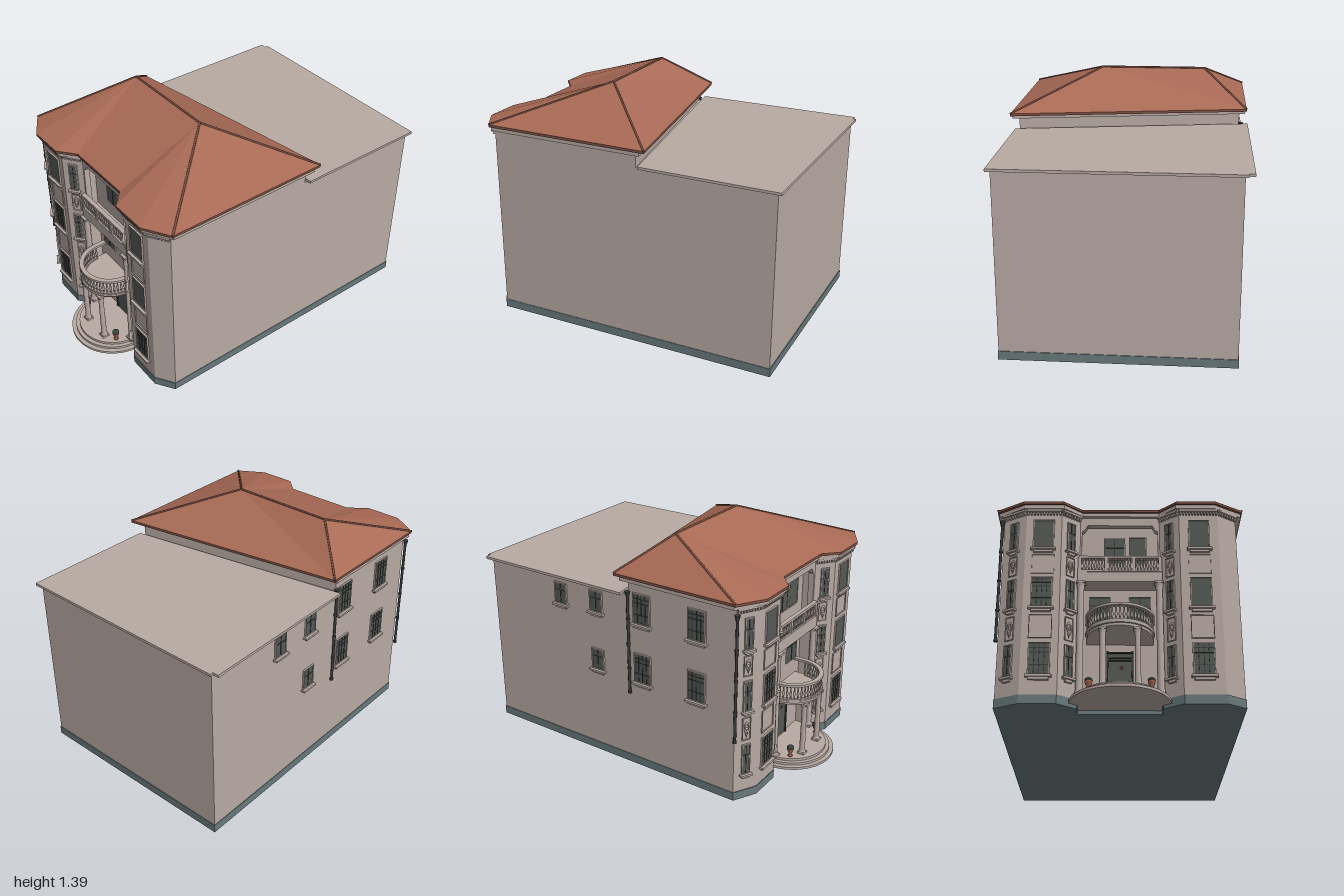
import * as THREE from 'three';

const mat = (name, color) => Object.assign(new THREE.MeshStandardMaterial({ color }), { name });
const M = {
  wall: mat('warm stone', 0xb8aaa3),
  roof: mat('roof tile', 0xa86a55),
  trim: mat('roof trim', 0x7a4f42),
  plinth: mat('slate plinth', 0x68797c),
  glass: mat('dark glass', 0x555a56),
  iron: mat('dark iron', 0x383c3b),
  clay: mat('terracotta', 0xa0604a),
  leaf: mat('foliage', 0x39423a),
};

function add(parent, name, geo, m, x = 0, y = 0, z = 0) {
  const mesh = new THREE.Mesh(geo, m);
  mesh.name = name;
  mesh.position.set(x, y, z);
  parent.add(mesh);
  return mesh;
}
const box = (p, name, m, w, h, d, x, y, z) => add(p, name, new THREE.BoxGeometry(w, h, d), m, x, y, z);
const lathe = (pts, n = 12) => new THREE.LatheGeometry(pts.map(([r, y]) => new THREE.Vector2(r, y)), n);

// horizontal slab from a plan outline of [x, z] corners
function slab(p, name, m, pts, y0, y1) {
  const shape = new THREE.Shape(pts.map(([x, z]) => new THREE.Vector2(x, -z)));
  const geo = new THREE.ExtrudeGeometry(shape, { depth: y1 - y0, bevelEnabled: false });
  return add(p, name, geo.rotateX(-Math.PI / 2), m, 0, y0, 0);
}
// round bar between two points
function bar(p, name, m, a, b, r) {
  const d = b.clone().sub(a);
  const mesh = add(p, name, new THREE.CylinderGeometry(r, r, d.length(), 8), m);
  mesh.position.copy(a).addScaledVector(d, 0.5);
  mesh.quaternion.setFromUnitVectors(new THREE.Vector3(0, 1, 0), d.normalize());
}
// group lying on a wall from p to q: local x along it, local z outwards
function wallFace(parent, name, [px, pz], [qx, qz]) {
  const g = new THREE.Group();
  g.name = name;
  g.position.set((px + qx) / 2, 0, (pz + qz) / 2);
  g.rotation.y = Math.atan2(pz - qz, qx - px);
  g.userData.length = Math.hypot(qx - px, qz - pz);
  parent.add(g);
  return g;
}
function frame(p, name, x, y0, y1, w, t, d, z = 0) {
  const h = y1 - y0;
  for (const s of [-1, 1]) {
    box(p, name, M.wall, t, h + 2 * t, d, x + s * (w + t) / 2, (y0 + y1) / 2, z + d / 2);
    box(p, name, M.wall, w, t, d, x, (y0 + y1) / 2 + s * (h + t) / 2, z + d / 2);
  }
}
function glazing(p, x, y0, y1, w, cols, z = 0) {
  const h = y1 - y0, y = (y0 + y1) / 2;
  box(p, 'windowPane', M.glass, w, h, 0.006, x, y, z + 0.003);
  for (let i = 1; i < cols; i++) box(p, 'glazingBar', M.iron, 0.004, h, 0.009, x + w * (i / cols - 0.5), y, z + 0.0045);
  const rows = cols > 2 ? [0.3, 0.7, 0.85] : cols > 1 ? [0.65] : [];
  for (const r of rows) box(p, 'glazingBar', M.iron, w, 0.004, 0.009, x, y0 + h * r, z + 0.0045);
}
function sillWindow(p, x, y0, y1, w, cols) {
  glazing(p, x, y0, y1, w, cols);
  frame(p, 'windowFrame', x, y0, y1, w, 0.005, 0.01);
  box(p, 'windowSill', M.wall, w + 0.03, 0.012, 0.025, x, y0 - 0.011, 0.0125);
  box(p, 'sillApron', M.wall, w, 0.014, 0.014, x, y0 - 0.024, 0.007);
}
const floors = [[0.16, 0.335], [0.55, 0.72], [0.91, 1.08]];
const panels = [[0.37, 0.5], [0.755, 0.865]];

const columnProfile = (r, h) => lathe([[0, 0], [r * 1.3, 0], [r * 1.3, 0.012], [r * 1.05, 0.022], [r, 0.03], [r * 0.88, h - 0.04],
  [r * 1.1, h - 0.034], [r * 0.9, h - 0.026], [r * 1.3, h - 0.01], [r * 1.3, h], [0, h]], 16);
function column(p, r, x, y0, y1, z) {
  add(p, 'column', columnProfile(r, y1 - y0), M.wall, x, y0, z);
  for (const y of [y0 + 0.006, y1 - 0.006]) box(p, 'columnBlock', M.wall, r * 2.6, 0.012, r * 2.6, x, y, z);
}
const baluster = lathe([[0.005, 0], [0.004, 0.012], [0.008, 0.03], [0.004, 0.055], [0.004, 0.065], [0.006, 0.08]], 8);
// half disc bulging to the front
const halfDisc = (r, h) => new THREE.CylinderGeometry(r, r, h, 32, 1, false, -Math.PI / 2, Math.PI);
function halfRing(r0, r1, h) {
  const s = new THREE.Shape();
  s.absarc(0, 0, r1, Math.PI, 2 * Math.PI, false);
  s.absarc(0, 0, r0, 2 * Math.PI, Math.PI, true);
  return new THREE.ExtrudeGeometry(s, { depth: h, bevelEnabled: false, curveSegments: 24 }).rotateX(-Math.PI / 2);
}

export function createModel() {
  const house = new THREE.Group();
  house.name = 'house';

  // main block plan with two angled bays and a recessed centre
  const bays = [[-0.645, 0.74], [-0.515, 0.81], [-0.32, 0.81], [-0.22, 0.735], [-0.22, 0.66],
    [0.22, 0.66], [0.22, 0.735], [0.325, 0.81], [0.54, 0.81], [0.645, 0.74]];
  slab(house, 'mainWalls', M.wall, [...bays, [0.645, -0.17], [-0.645, 0.05]], 0.05, 1.16);
  slab(house, 'rearWalls', M.wall, [[-0.645, 0.2], [0.645, 0.2], [0.645, -0.975], [-0.645, -0.975]], 0.05, 1.07);
  slab(house, 'plinth', M.plinth, [...bays.map(([x, z]) => [x * 1.004, z + 0.004]), [0.648, -0.979], [-0.648, -0.979]], 0, 0.05);
  slab(house, 'rearFlatRoof', M.wall, [[-0.695, 0.03], [0.668, -0.19], [0.668, -1], [-0.66, -1], [-0.66, -0.98], [-0.695, -0.98]], 1.07, 1.085);

  // hipped roof over the main block
  const eave = [[-0.685, 0.755], [-0.53, 0.848], [-0.31, 0.848], [-0.21, 0.765], [0.22, 0.765],
    [0.31, 0.848], [0.53, 0.848], [0.685, 0.755], [0.685, -0.24], [-0.685, -0.02]];
  slab(house, 'cornice', M.wall, eave.map(([x, z], i) => [x * 0.99, z + (i < 8 ? -0.012 : 0.035)]), 1.148, 1.17);
  slab(house, 'eaves', M.trim, eave, 1.17, 1.185);
  const P = eave.map(([x, z]) => new THREE.Vector3(x, 1.185, z));
  const A = new THREE.Vector3(-0.43, 1.383, 0.215), B = new THREE.Vector3(0.19, 1.383, 0.215);
  const tris = [A, P[0], P[1], A, P[1], P[2], A, P[2], P[3], A, P[3], P[4], A, P[4], B, B, P[4], P[5], B, P[5], P[6],
    B, P[6], P[7], B, P[7], P[8], B, P[8], P[9], B, P[9], A, A, P[9], P[0]];
  const roofGeo = new THREE.BufferGeometry().setFromPoints(tris);
  roofGeo.computeVertexNormals();
  add(house, 'roof', roofGeo, M.roof);
  for (const [a, b] of [[A, B], [A, P[0]], [A, P[9]], [B, P[7]], [B, P[8]]]) bar(house, 'ridgeTile', M.trim, a, b, 0.006);

  // bay faces: windows, relief panels and dentils
  const bayFaces = [
    ['leftOuterBay', 0, 1, 'narrow'], ['leftBayFront', 1, 2, [4, 4, 1]], ['leftInnerBay', 2, 3, 'narrow'],
    ['rightInnerBay', 6, 7, 'narrow'], ['rightBayFront', 7, 8, [4, 1, 1]], ['rightOuterBay', 8, 9, null]];
  for (const [name, i, j, kind] of bayFaces) {
    const g = wallFace(house, name, bays[i], bays[j]), L = g.userData.length;
    box(g, 'friezeBand', M.wall, L, 0.012, 0.02, 0, 1.142, 0.01);
    const n = Math.round(L / 0.017);
    for (let k = 0; k < n; k++) box(g, 'dentil', M.wall, 0.009, 0.018, 0.014, ((k + 0.5) / n - 0.5) * L, 1.128, 0.007);
    if (!kind) continue;
    const narrow = kind === 'narrow', w = narrow ? 0.042 : 0.106;
    floors.forEach(([a, b], f) => sillWindow(g, 0, a, b, w, narrow ? 2 : kind[f]));
    for (const [a, b] of panels) {
      frame(g, 'reliefPanel', 0, a, b, narrow ? 0.045 : 0.115, 0.004, 0.006);
      if (!narrow) continue;
      const oval = add(g, 'reliefOrnament', new THREE.TorusGeometry(0.013, 0.004, 6, 14), M.wall, 0, (a + b) / 2 + 0.008, 0.003);
      oval.scale.y = 2;
      add(g, 'reliefBoss', new THREE.SphereGeometry(0.008, 8, 6), M.wall, 0, (a + b) / 2, 0.003);
      add(g, 'reliefDrop', new THREE.ConeGeometry(0.009, 0.03, 6), M.wall, 0, a + 0.025, 0.003).rotation.x = Math.PI;
    }
  }

  // windows on the side wall
  const side = wallFace(house, 'sideWindows', [-0.645, -1], [-0.645, 1]);
  for (const z of [0.14, 0.5]) for (const f of [1, 2]) sillWindow(side, z, ...floors[f], 0.105, 4);
  for (const [z, y] of [[-0.44, 0.96], [-0.18, 0.97], [-0.18, 0.61]]) sillWindow(side, z, y - 0.06, y + 0.06, 0.08, 2);

  // drainpipes with collars and hopper heads
  for (const [z, y0, y1] of [[0.75, 0.38, 1.1], [0.05, 0.47, 1.07]]) {
    add(house, 'drainpipe', new THREE.CylinderGeometry(0.008, 0.008, y1 - y0, 10), M.iron, -0.655, (y0 + y1) / 2, z);
    add(house, 'hopperHead', new THREE.CylinderGeometry(0.016, 0.009, 0.03, 10), M.iron, -0.655, y1, z);
    for (let k = 0; k < 4; k++) add(house, 'pipeCollar', new THREE.CylinderGeometry(0.011, 0.011, 0.012, 10), M.iron, -0.655, y0 + k * (y1 - y0) / 4, z);
  }

  // upper loggia: framed opening, floor beam and balustrade
  const front = new THREE.Shape([[-0.22, 0.73], [0.22, 0.73], [0.22, 1.16], [-0.22, 1.16]].map((v) => new THREE.Vector2(...v)));
  front.holes.push(new THREE.Path([[-0.21, 0.79], [-0.21, 1.06], [-0.195, 1.07], [-0.18, 1.1], [0.18, 1.1], [0.195, 1.07], [0.21, 1.06], [0.21, 0.79]]
    .map((v) => new THREE.Vector2(...v))));
  add(house, 'loggiaFrame', new THREE.ExtrudeGeometry(front, { depth: 0.035, bevelEnabled: false }), M.wall, 0, 0, 0.7);
  box(house, 'loggiaFloor', M.wall, 0.46, 0.06, 0.1, 0, 0.76, 0.71);
  box(house, 'loggiaRail', M.wall, 0.45, 0.014, 0.026, 0, 0.883, 0.748);
  box(house, 'loggiaKerb', M.wall, 0.45, 0.012, 0.026, 0, 0.796, 0.748);
  for (const x of [-0.22, -0.075, 0.075, 0.22]) box(house, 'railPost', M.wall, 0.02, 0.09, 0.022, x, 0.835, 0.748);
  for (let k = 0; k < 24; k++) add(house, 'baluster', baluster, M.wall, -0.205 + k * 0.41 / 23, 0.8, 0.748);

  // recessed centre wall: windows and entrance
  const centre = wallFace(house, 'centreWall', [-0.22, 0.66], [0.22, 0.66]);
  for (const [x, a, b, w, n] of [[-0.03, 0.89, 1.055, 0.112, 2], [0.1, 0.89, 1.06, 0.09, 1], [-0.11, 0.53, 0.68, 0.11, 2], [0.11, 0.53, 0.68, 0.11, 2]]) {
    glazing(centre, x, a, b, w, n);
    frame(centre, 'windowFrame', x, a, b, w, 0.004, 0.008);
  }
  box(centre, 'door', M.glass, 0.12, 0.235, 0.008, 0, 0.182, 0.004);
  box(centre, 'transom', M.glass, 0.14, 0.05, 0.008, 0, 0.327, 0.004);
  for (const y of [0.3, 0.315, 0.345]) box(centre, 'doorHead', M.iron, 0.145, 0.006, 0.016, 0, y, 0.008);
  for (const s of [-1, 1]) box(centre, 'doorJamb', M.iron, 0.01, 0.29, 0.014, s * 0.067, 0.21, 0.007);
  add(centre, 'doorKnocker', new THREE.TorusGeometry(0.007, 0.0025, 6, 12), M.clay, 0.01, 0.26, 0.01);

  // curved steps and porch floor
  [[0.265, 0.02], [0.24, 0.035], [0.218, 0.05]].forEach(([r, y]) => add(house, 'porchStep', halfDisc(r, 0.015), M.wall, 0, y + 0.0075, 0.735));
  box(house, 'porchFloor', M.wall, 0.436, 0.045, 0.085, 0, 0.0425, 0.695);

  // curved balcony on columns
  add(house, 'balconySlab', halfDisc(0.185, 0.014), M.wall, 0, 0.417, 0.73);
  add(house, 'balconyBeam', halfDisc(0.175, 0.015), M.wall, 0, 0.403, 0.73);
  box(house, 'balconyBack', M.wall, 0.36, 0.028, 0.08, 0, 0.41, 0.695);
  add(house, 'balconyKerb', halfRing(0.16, 0.182, 0.008), M.wall, 0, 0.424, 0.73);
  add(house, 'balconyRail', halfRing(0.158, 0.185, 0.014), M.wall, 0, 0.51, 0.73);
  for (let k = 0; k <= 26; k++) {
    const t = Math.PI * k / 26;
    add(house, 'baluster', baluster, M.wall, -Math.cos(t) * 0.171, 0.431, 0.73 + Math.sin(t) * 0.171);
  }
  for (const s of [-1, 1]) {
    box(house, 'balconySideRail', M.wall, 0.027, 0.014, 0.075, s * 0.1715, 0.517, 0.695);
    column(house, 0.0165, s * 0.09, 0.065, 0.397, 0.87);
    column(house, 0.02, s * 0.212, 0.065, 0.73, 0.75);
    // potted plants
    add(house, 'flowerPot', lathe([[0, 0], [0.014, 0], [0.014, 0.006], [0.007, 0.014], [0.017, 0.035], [0.02, 0.05], [0.016, 0.05], [0, 0.048]]), M.clay, s * 0.16, 0.065, 0.83);
    add(house, 'potPlant', new THREE.IcosahedronGeometry(0.021, 1), M.leaf, s * 0.16, 0.122, 0.83).scale.y = 0.7;
  }
  return house;
}
